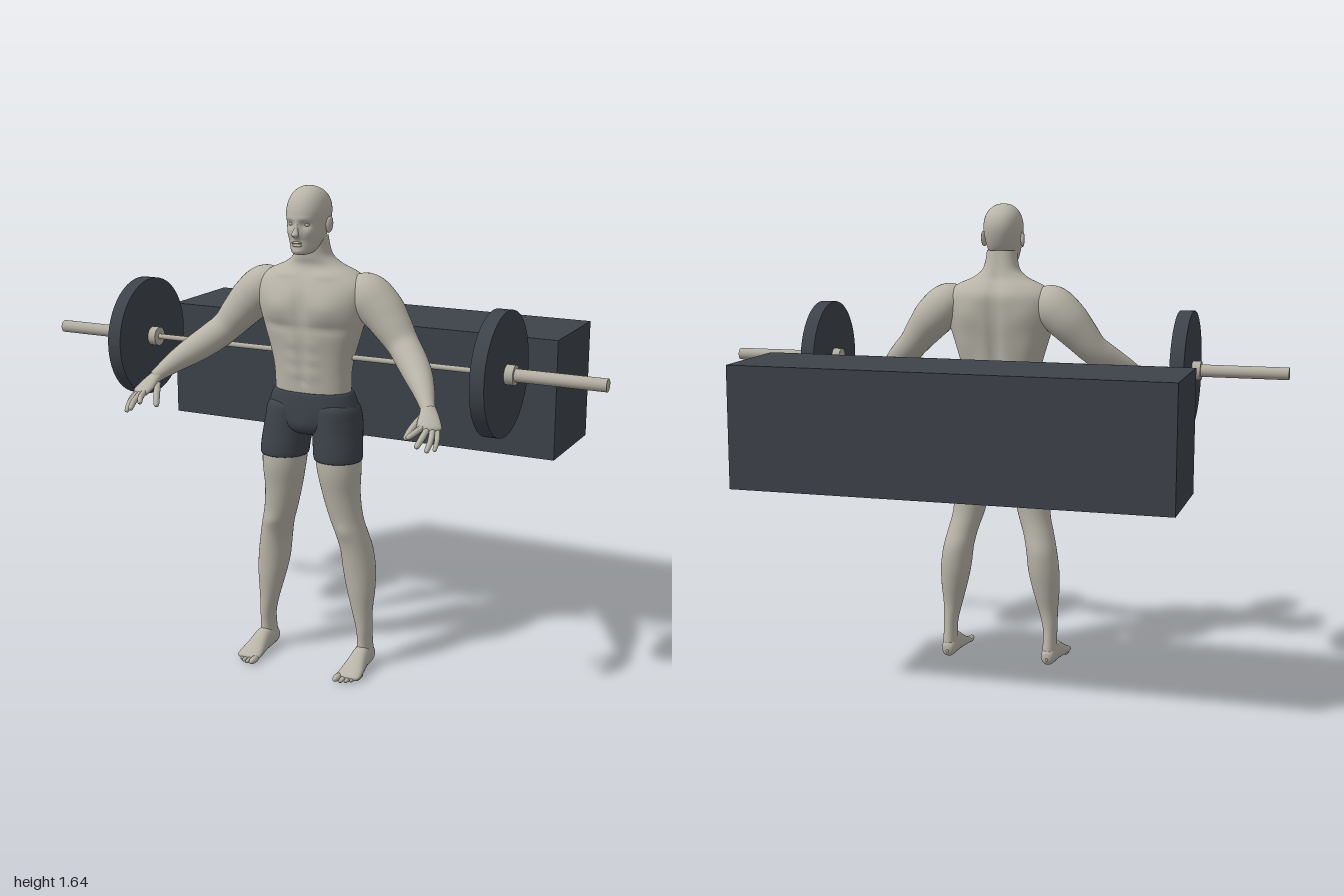
import * as THREE from 'three';

const V = (x, y, z) => new THREE.Vector3(x, y, z);
const skin = new THREE.MeshStandardMaterial({ color: 0xb8b4a8 });
skin.name = 'skin';
const steel = new THREE.MeshStandardMaterial({ color: 0xb3aea2 });
steel.name = 'steel';
const charcoal = new THREE.MeshStandardMaterial({ color: 0x3d434a });
charcoal.name = 'charcoal';

// Smooth skin over elliptical sections: rows are [x, y, z, radiusU, radiusV].
// Without fixed axes each section turns with the path.
function loft(rows, { axes, n = 32, steps = 5, power = 2, shape } = {}) {
  const path = new THREE.CatmullRomCurve3(rows.map(r => V(r[0], r[1], r[2])), false, 'catmullrom');
  const radii = new THREE.CatmullRomCurve3(rows.map(r => V(r[3], r[4], 0)), false, 'catmullrom');
  const m = (rows.length - 1) * steps, pos = [], idx = [];
  const sup = c => Math.sign(c) * Math.abs(c) ** (2 / power);
  for (let i = 0; i <= m; i++) {
    const c = path.getPoint(i / m), r = radii.getPoint(i / m);
    let [u, v] = axes || [];
    if (!axes) {
      const t = path.getTangent(i / m);
      u = V(0, 1, 0).cross(t).normalize();
      v = t.clone().cross(u);
    }
    for (let j = 0; j < n; j++) {
      const a = j / n * Math.PI * 2;
      const p = c.clone().addScaledVector(u, Math.max(r.x, 0.0005) * sup(Math.cos(a)))
        .addScaledVector(v, Math.max(r.y, 0.0005) * sup(Math.sin(a)));
      if (shape) shape(p, Math.cos(a));
      pos.push(p.x, p.y, p.z);
      if (i < m) {
        const k = i * n + j, l = i * n + (j + 1) % n;
        idx.push(k, l, k + n, l, l + n, k + n);
      }
    }
  }
  const g = new THREE.BufferGeometry();
  g.setAttribute('position', new THREE.Float32BufferAttribute(pos, 3));
  g.setIndex(idx);
  g.computeVertexNormals();
  return g;
}

// Upright body part: rows are [y, centreX, halfWidth, backZ, frontZ]
const upright = (rows, opts = {}) => loft(
  rows.map(([y, x, a, b, f]) => [x, y, (b + f) / 2, (f - b) / 2, a]),
  { axes: [V(0, 0, 1), V(1, 0, 0)], ...opts });

// Round limb along a path: rows are [x, y, z, radius]
const limb = (rows, opts) => loft(rows.map(r => [r[0], r[1], r[2], r[3], r[4] ?? r[3]]), opts);

const ellipsoid = (x, y, z, a, b, c) => new THREE.SphereGeometry(1, 20, 14).scale(a, b, c).translate(x, y, z);

// Mirrors a geometry in x and keeps its faces outward
function mirrored(g) {
  const m = g.clone().scale(-1, 1, 1), ix = m.index.array;
  for (let i = 0; i < ix.length; i += 3) [ix[i], ix[i + 1]] = [ix[i + 1], ix[i]];
  m.computeVertexNormals();
  return m;
}

// Symmetric muscle or face relief: bumps are [x, y, widthX, widthY, height]
const relief = (front, back = []) => (p, side) => {
  const x = Math.abs(p.x), y = p.y;
  const sum = list => list.reduce((s, [bx, by, wx, wy, h]) =>
    s + h * Math.exp(-(((x - bx) / wx) ** 2) - ((y - by) / wy) ** 2), 0);
  if (side > 0) p.z += sum(front) * Math.min(1, side * 2);
  else p.z -= sum(back) * Math.min(1, -side * 2);
};

export function createModel() {
  const root = new THREE.Group();
  root.name = 'weightlifter';
  const add = (name, geo, mat) => {
    const mesh = new THREE.Mesh(geo, mat);
    mesh.name = name;
    root.add(mesh);
  };
  const pair = (name, geo, mat) => {
    add(name + 'Left', geo, mat);
    add(name + 'Right', mirrored(geo), mat);
  };

  // Block behind the figure
  add('block', new THREE.BoxGeometry(1.47, 0.41, 0.353).translate(0, 0.93, -0.328), charcoal);

  // Barbell
  const rod = (r, x0, x1) => new THREE.CylinderGeometry(r, r, x1 - x0, 48)
    .rotateZ(-Math.PI / 2).translate((x0 + x1) / 2, 1.084, 0.168);
  add('bar', rod(0.009, -0.61, 0.61), steel);
  pair('sleeve', rod(0.021, 0.67, 1), steel);
  pair('innerCollar', rod(0.032, 0.6, 0.63), steel);
  pair('outerCollar', rod(0.032, 0.674, 0.705), steel);
  pair('plate', rod(0.202, 0.628, 0.676), charcoal);

  // Torso and neck
  add('torso', upright([
    [0.94, 0, 0.132, 0.09, 0.245], [0.98, 0, 0.133, 0.092, 0.247], [1.04, 0, 0.136, 0.092, 0.25],
    [1.1, 0, 0.149, 0.085, 0.254], [1.17, 0, 0.17, 0.075, 0.262], [1.23, 0, 0.188, 0.067, 0.264],
    [1.29, 0, 0.197, 0.065, 0.26], [1.33, 0, 0.19, 0.07, 0.245], [1.36, 0, 0.155, 0.086, 0.225],
    [1.385, 0, 0.1, 0.103, 0.215], [1.41, 0, 0.068, 0.112, 0.219], [1.44, 0, 0.057, 0.12, 0.222],
    [1.48, 0, 0.052, 0.128, 0.225]
  ], {
    n: 72, power: 2.3, shape: relief([
      [0.085, 1.25, 0.065, 0.045, 0.014], [0, 1.25, 0.016, 0.07, -0.008], [0.08, 1.185, 0.08, 0.014, -0.006],
      [0, 1.08, 0.01, 0.08, -0.005], [0.035, 1.13, 0.025, 0.018, 0.004], [0.035, 1.08, 0.025, 0.018, 0.004],
      [0.035, 1.03, 0.025, 0.018, 0.004], [0.07, 1.355, 0.05, 0.012, 0.007], [0, 1.005, 0.008, 0.008, -0.006]
    ], [
      [0, 1.16, 0.018, 0.2, -0.014], [0.1, 1.26, 0.05, 0.05, 0.008], [0.12, 1.15, 0.04, 0.06, 0.006],
      [0.045, 1.03, 0.03, 0.08, 0.005], [0.05, 1.33, 0.05, 0.04, 0.006]
    ])
  }), skin);

  // Head with carved face
  add('head', upright([
    [1.424, 0, 0.012, 0.235, 0.265], [1.43, 0, 0.031, 0.205, 0.279], [1.447, 0, 0.043, 0.17, 0.283],
    [1.48, 0, 0.055, 0.133, 0.283], [1.52, 0, 0.063, 0.112, 0.283], [1.56, 0, 0.067, 0.104, 0.284],
    [1.595, 0, 0.061, 0.113, 0.271], [1.62, 0, 0.046, 0.137, 0.25], [1.635, 0, 0.024, 0.17, 0.222],
    [1.639, 0, 0.001, 0.195, 0.199]
  ], {
    n: 72, steps: 7, power: 2.15, shape: relief([
      [0.027, 1.522, 0.014, 0.01, -0.009], [0.022, 1.541, 0.022, 0.008, 0.004], [0, 1.49, 0.012, 0.013, 0.012],
      [0, 1.51, 0.008, 0.022, 0.009], [0, 1.473, 0.02, 0.007, -0.003], [0, 1.437, 0.018, 0.01, 0.004],
      [0.04, 1.497, 0.012, 0.015, 0.004], [0.034, 1.465, 0.012, 0.018, -0.004]
    ])
  }), skin);
  add('nose', limb([[0, 1.53, 0.283, 0.004], [0, 1.51, 0.288, 0.007], [0, 1.494, 0.295, 0.012],
    [0, 1.486, 0.292, 0.009], [0, 1.484, 0.287, 0.001]],
  { axes: [V(0, 0, 1), V(-1, 0, 0)], n: 16 }), skin);
  add('upperLip', ellipsoid(0, 1.4655, 0.283, 0.019, 0.004, 0.006), skin);
  add('lowerLip', ellipsoid(0, 1.457, 0.282, 0.017, 0.005, 0.006), skin);
  pair('eye', ellipsoid(0.027, 1.522, 0.262, 0.011, 0.006, 0.01), skin);
  pair('ear', ellipsoid(0, 0, 0, 0.007, 0.027, 0.015).rotateX(-0.15).rotateY(-0.35)
    .translate(0.07, 1.517, 0.19), skin);

  // Arms
  pair('arm', limb([
    [0.12, 1.315, 0.155, 0.035], [0.18, 1.297, 0.15, 0.07], [0.235, 1.25, 0.15, 0.073],
    [0.28, 1.2, 0.16, 0.064], [0.325, 1.147, 0.175, 0.053], [0.365, 1.11, 0.205, 0.051],
    [0.41, 1.073, 0.25, 0.046], [0.45, 1.04, 0.3, 0.036], [0.483, 1.007, 0.347, 0.025],
    [0.497, 0.992, 0.365, 0.022]
  ]), skin);

  // Hands
  pair('palm', limb([
    [0.482, 1.008, 0.345, 0.02, 0.018], [0.5, 0.985, 0.372, 0.029, 0.018], [0.513, 0.963, 0.4, 0.037, 0.016],
    [0.523, 0.948, 0.42, 0.035, 0.012], [0.526, 0.943, 0.426, 0.002, 0.002]
  ], { n: 20 }), skin);
  [
    ['thumb', [0.48, 0.975, 0.375], [0.462, 0.945, 0.41], [0.45, 0.917, 0.432], 0.011],
    ['indexFinger', [0.5, 0.955, 0.425], [0.492, 0.945, 0.46], [0.48, 0.935, 0.485], 0.0095],
    ['middleFinger', [0.516, 0.948, 0.425], [0.516, 0.93, 0.465], [0.512, 0.912, 0.492], 0.0098],
    ['ringFinger', [0.532, 0.946, 0.418], [0.54, 0.922, 0.452], [0.538, 0.898, 0.476], 0.0093],
    ['littleFinger', [0.543, 0.948, 0.405], [0.553, 0.923, 0.43], [0.553, 0.897, 0.448], 0.008]
  ].forEach(([name, a, b, c, r]) => {
    const end = c.map((v, i) => v + (c[i] - b[i]) * 0.2);
    pair(name, limb([[...a, r], [...b, r], [...c, r * 0.8], [...end, 0.001]], { n: 12 }), skin);
  });

  // Legs
  pair('leg', upright([
    [0.02, 0.187, 0.024, 0.118, 0.185], [0.05, 0.187, 0.026, 0.113, 0.196], [0.1, 0.187, 0.024, 0.119, 0.195],
    [0.14, 0.186, 0.026, 0.123, 0.197], [0.2, 0.179, 0.034, 0.122, 0.2], [0.28, 0.171, 0.048, 0.105, 0.207],
    [0.35, 0.163, 0.055, 0.093, 0.211], [0.42, 0.154, 0.054, 0.091, 0.217], [0.48, 0.14, 0.054, 0.105, 0.226],
    [0.54, 0.123, 0.057, 0.115, 0.234], [0.62, 0.109, 0.064, 0.116, 0.246], [0.7, 0.103, 0.074, 0.112, 0.26],
    [0.78, 0.097, 0.078, 0.107, 0.26]
  ], {
    n: 40, shape: (p, side) => { // kneecap
      if (side > 0) p.z += 0.006 * Math.exp(-(((p.x - 0.138) / 0.025) ** 2) - ((p.y - 0.495) / 0.025) ** 2);
    }
  }), skin);

  // Feet and toes
  pair('foot', limb([
    [0.186, 0.03, 0.108, 0.004, 0.006], [0.186, 0.032, 0.118, 0.021, 0.025], [0.187, 0.04, 0.15, 0.027, 0.036],
    [0.188, 0.043, 0.19, 0.029, 0.04], [0.19, 0.032, 0.235, 0.035, 0.029], [0.191, 0.022, 0.275, 0.041, 0.018],
    [0.191, 0.017, 0.305, 0.038, 0.011], [0.191, 0.015, 0.312, 0.004, 0.003]
  ], { n: 28, power: 2.3 }), skin);
  [0.16, 0.179, 0.195, 0.209, 0.222].forEach((x, i) => {
    const r = i ? 0.0085 - i * 0.0004 : 0.012, tip = 0.342 - i * i * 0.0025;
    pair('toe' + (i + 1), ellipsoid(x, r + 0.004, tip - 0.026, r, r, 0.028), skin);
  });

  // Shorts
  add('shortsHips', upright([
    [0.812, 0, 0.02, 0.13, 0.2], [0.828, 0, 0.08, 0.09, 0.24], [0.85, 0, 0.145, 0.074, 0.255],
    [0.885, 0, 0.166, 0.067, 0.259], [0.925, 0, 0.155, 0.075, 0.258], [0.963, 0, 0.14, 0.084, 0.253],
    [0.966, 0, 0.128, 0.094, 0.243]
  ], { n: 56, power: 2.25, shape: relief([[0, 0.86, 0.035, 0.04, 0.006]], [[0, 0.86, 0.014, 0.05, -0.012]]) }), charcoal);
  pair('shortsLeg', upright([
    [0.744, 0.1, 0.068, 0.118, 0.252], [0.741, 0.1, 0.081, 0.106, 0.268], [0.78, 0.097, 0.083, 0.1, 0.268],
    [0.83, 0.091, 0.084, 0.083, 0.263], [0.87, 0.086, 0.084, 0.072, 0.26], [0.92, 0.08, 0.076, 0.082, 0.252],
    [0.94, 0.075, 0.03, 0.13, 0.21]
  ], { n: 40 }), charcoal);

  return root;
}
